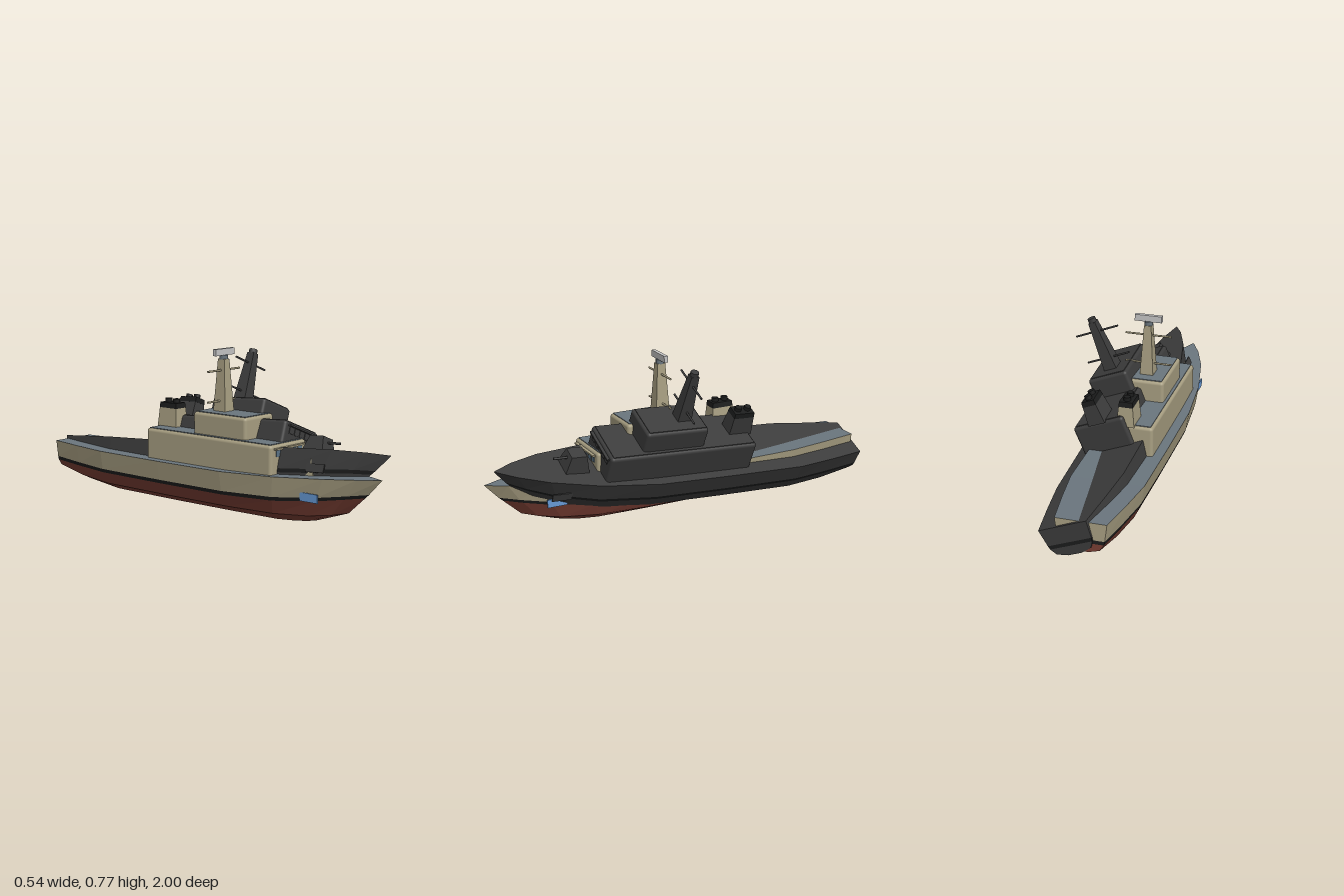
import * as THREE from 'three';
import { RoundedBoxGeometry } from 'three/addons/geometries/RoundedBoxGeometry.js';

const mat = (name, color, flatShading = false) => {
  const m = new THREE.MeshStandardMaterial({ color });
  m.name = name;
  m.flatShading = flatShading;
  return m;
};

// Hull stations from stern to bow: [z, half width, keel y, bilge y, stripe bottom y, deck y]
const STATIONS = [
  [-0.99, 0.12, 0.07, 0.085, 0.115, 0.218],
  [-0.8, 0.15, 0.025, 0.055, 0.108, 0.216],
  [-0.6, 0.176, 0.003, 0.042, 0.102, 0.214],
  [-0.2, 0.18, 0, 0.04, 0.1, 0.213],
  [0.2, 0.18, 0, 0.04, 0.1, 0.214],
  [0.5, 0.155, 0, 0.042, 0.108, 0.224],
  [0.75, 0.105, 0.004, 0.05, 0.128, 0.238],
  [0.9, 0.052, 0.009, 0.062, 0.146, 0.246],
  [1, 0, 0.015, 0.075, 0.157, 0.25],
];
const WIDTHS = [0, 0.28, 0.72, 0.88, 0.91, 1];        // width share of each level, keel to deck
const TIPS = [0.62, 0.64, 0.82, 0.91, 0.93, 1];       // raked stem: bow z of each level

// Point on the hull; side is -1 or 1
function hullPoint(s, level, side) {
  const [t, w, keel, bilge, stripe, deck] = STATIONS[s];
  const y = [keel, keel, bilge, stripe, stripe + 0.018, deck][level];
  const z = t < 0.4 ? t : 0.4 + (t - 0.4) * (TIPS[level] - 0.4) / 0.6;
  return [side * w * WIDTHS[level], y, z];
}

function quadMesh(quads, material, name) {
  const pos = [];
  for (const [a, b, c, d] of quads) pos.push(...a, ...b, ...c, ...a, ...c, ...d);
  const g = new THREE.BufferGeometry();
  g.setAttribute('position', new THREE.Float32BufferAttribute(pos, 3));
  g.computeVertexNormals();
  const m = new THREE.Mesh(g, material);
  m.name = name;
  return m;
}

// Plating between two levels on both sides, closed at the transom
function hullBand(from, to, material, name) {
  const quads = [];
  for (let l = from; l < to; l++) {
    for (let s = 0; s < STATIONS.length - 1; s++) {
      for (const side of [-1, 1]) {
        const q = [hullPoint(s, l, side), hullPoint(s + 1, l, side),
          hullPoint(s + 1, l + 1, side), hullPoint(s, l + 1, side)];
        quads.push(side < 0 ? q : q.reverse());
      }
    }
    quads.push([hullPoint(0, l, -1), hullPoint(0, l + 1, -1), hullPoint(0, l + 1, 1), hullPoint(0, l, 1)]);
  }
  return quadMesh(quads, material, name);
}

function deckMesh(material) {
  const quads = [];
  for (let s = 0; s < STATIONS.length - 1; s++) {
    quads.push([hullPoint(s, 5, -1), hullPoint(s + 1, 5, -1), hullPoint(s + 1, 5, 1), hullPoint(s, 5, 1)]);
  }
  return quadMesh(quads, material, 'deck');
}

// Box whose upper face is narrowed to the given shares
function taperedBox(w, h, d, topX, topZ) {
  const g = new THREE.BoxGeometry(w, h, d);
  const p = g.attributes.position;
  for (let i = 0; i < p.count; i++) {
    if (p.getY(i) > 0) p.setXYZ(i, p.getX(i) * topX, p.getY(i), p.getZ(i) * topZ);
  }
  g.computeVertexNormals();
  return g;
}

function buildShip(name, c, hasRadar) {
  const ship = new THREE.Group();
  ship.name = name;
  const add = (part, geometry, material, x, y, z) => {
    const m = new THREE.Mesh(geometry, material);
    m.name = part;
    m.position.set(x, y, z);
    ship.add(m);
    return m;
  };

  // Hull
  ship.add(hullBand(0, 3, c.bottom, 'lowerHull'));
  ship.add(hullBand(3, 4, c.stripe, 'waterlineStripe'));
  ship.add(hullBand(4, 5, c.paint, 'upperHull'));
  ship.add(deckMesh(c.deck));
  for (const side of [-1, 1]) {
    add('bowPlate', new THREE.BoxGeometry(0.006, 0.04, 0.1), c.plate, side * 0.113, 0.145, 0.68);
  }

  // Two superstructure tiers with roof plates
  const tier = (part, w, y0, y1, z0, z1) => {
    const h = y1 - y0, d = z1 - z0, z = (z0 + z1) / 2;
    add(part, new RoundedBoxGeometry(w, h, d, 3, 0.016), c.paint, 0, (y0 + y1) / 2, z);
    add(part + 'Roof', new THREE.BoxGeometry(w - 0.026, 0.006, d - 0.026), c.deck, 0, y1, z);
  };
  tier('lowerTier', 0.265, 0.18, 0.36, -0.315, 0.475);
  tier('upperTier', 0.21, 0.34, 0.467, -0.03, 0.3);

  // Bridge windows under a visor
  for (let i = -2; i <= 2; i++) {
    add('bridgeWindow', new THREE.BoxGeometry(0.03, 0.032, 0.006), c.window, i * 0.04, 0.32, 0.475);
  }
  add('visor', new THREE.BoxGeometry(0.215, 0.008, 0.02), c.paint, 0, 0.341, 0.48);

  // Mast with yards, cap and radar
  add('mast', taperedBox(0.068, 0.26, 0.075, 0.52, 0.56), c.paint, 0, 0.59, 0.075);
  for (const y of [0.52, 0.667]) {
    const yard = add('yard', new THREE.CylinderGeometry(0.005, 0.005, 0.23, 8), c.paint, 0, y, 0.075);
    yard.rotation.z = Math.PI / 2;
  }
  add('mastCap', new THREE.CylinderGeometry(0.021, 0.021, 0.022, 8), c.deck, 0, 0.729, 0.075);
  if (hasRadar) add('radarBar', new THREE.BoxGeometry(0.135, 0.032, 0.02), c.radar, 0, 0.754, 0.075);

  // Funnel with black cap and two exhausts
  add('funnel', taperedBox(0.088, 0.1, 0.125, 0.78, 0.88), c.paint, 0, 0.405, -0.26);
  add('funnelCap', taperedBox(0.07, 0.026, 0.112, 0.92, 0.95), c.stripe, 0, 0.466, -0.26);
  for (const dz of [-0.026, 0.026]) {
    add('exhaust', new THREE.CylinderGeometry(0.017, 0.017, 0.022, 10), c.stripe, 0, 0.487, -0.26 + dz);
  }

  // Foredeck gun
  add('gunTurret', taperedBox(0.115, 0.1, 0.13, 0.65, 0.6), c.paint, 0, 0.265, 0.595);
  const barrel = add('gunBarrel', new THREE.CylinderGeometry(0.006, 0.006, 0.1, 8), c.barrel, 0, 0.29, 0.66);
  barrel.rotation.x = Math.PI / 2;
  return ship;
}

export function createModel() {
  const model = new THREE.Group();
  model.name = 'patrolShips';
  const cream = mat('cream paint', 0xa89f82);
  const deck = mat('grey deck', 0x6b767e);
  const red = mat('red bottom paint', 0x7a3f34);
  const black = mat('black trim', 0x1c1d1d);
  const blue = mat('blue plate', 0x6699d6);
  const glass = mat('window glass', 0x5c7488);
  const silver = mat('radar grey', 0xc6c6c6);
  const charcoal = mat('charcoal', 0x3c3c3c);

  // Upright painted ship
  const painted = buildShip('paintedShip', {
    bottom: red, stripe: black, paint: cream, deck, plate: blue, window: glass, radar: silver, barrel: deck,
  }, true);
  painted.position.x = -0.09;
  model.add(painted);

  // Charred ship, heeled over with its bow raised
  const charred = buildShip('charredShip', {
    bottom: charcoal, stripe: black, paint: charcoal, deck: charcoal, plate: charcoal, window: charcoal, barrel: charcoal,
  }, false);
  charred.position.set(-0.09, 0.05, 0);
  charred.rotation.set(THREE.MathUtils.degToRad(-3.7), 0, THREE.MathUtils.degToRad(-22));
  model.add(charred);
  return model;
}
